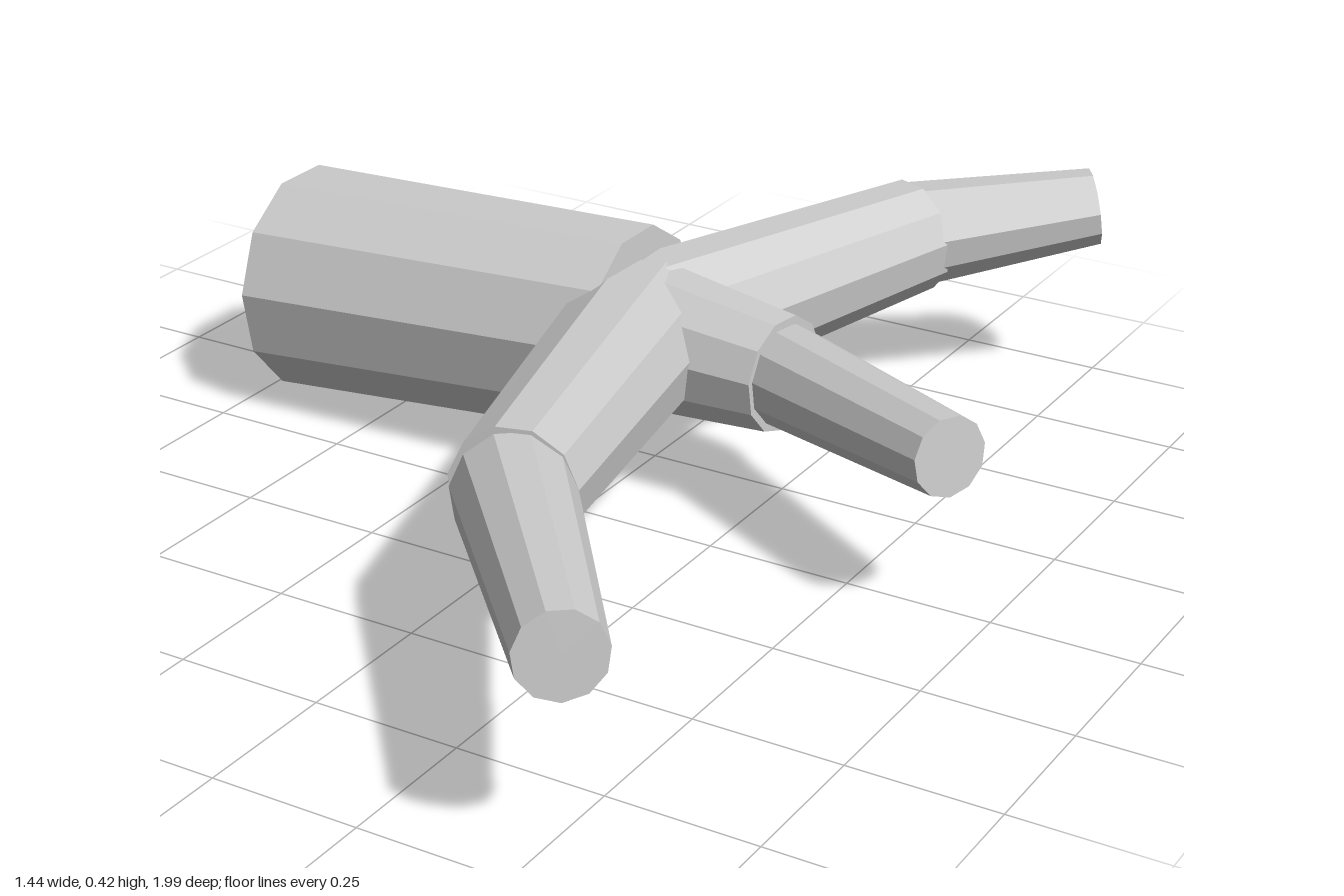
import * as THREE from 'three';

const material = new THREE.MeshStandardMaterial({ color: 0xcccccc, flatShading: true });

// Tapered, faceted limb running from one point to another.
function limb(name, from, to, rStart, rEnd, sides = 11) {
  const a = new THREE.Vector3(...from);
  const b = new THREE.Vector3(...to);
  const length = a.distanceTo(b);
  const geometry = new THREE.CylinderGeometry(rEnd, rStart, length, sides);
  geometry.translate(0, length / 2, 0);
  geometry.rotateX(Math.PI / 2);
  const mesh = new THREE.Mesh(geometry, material);
  mesh.name = name;
  mesh.position.copy(a);
  mesh.lookAt(b);
  return mesh;
}

export function createModel() {
  const model = new THREE.Group();
  model.name = 'branchingLimb';

  // Thick trunk, lying down and rising slightly towards the fork
  const fork = [-0.01, 0.245, -0.22];
  model.add(limb('trunk', [-0.71, 0.201, -0.22], fork, 0.2, 0.183));

  // Three two-part branches spreading from the fork
  const branches = [
    { name: 'backBranch', knee: [0.233, 0.29, -0.765], tip: [0.503, 0.34, -0.942], r: [0.13, 0.102, 0.095, 0.069] },
    { name: 'middleBranch', knee: [0.286, 0.25, -0.177], tip: [0.688, 0.291, 0.048], r: [0.13, 0.1, 0.086, 0.066] },
    { name: 'frontBranch', knee: [0.19, 0.295, 0.5], tip: [0.553, 0.337, 0.95], r: [0.133, 0.103, 0.096, 0.068] },
  ];
  for (const { name, knee, tip, r } of branches) {
    const branch = new THREE.Group();
    branch.name = name;
    branch.add(limb('innerSegment', fork, knee, r[0], r[1]));
    branch.add(limb('outerSegment', knee, tip, r[2], r[3]));
    model.add(branch);
  }
  return model;
}
